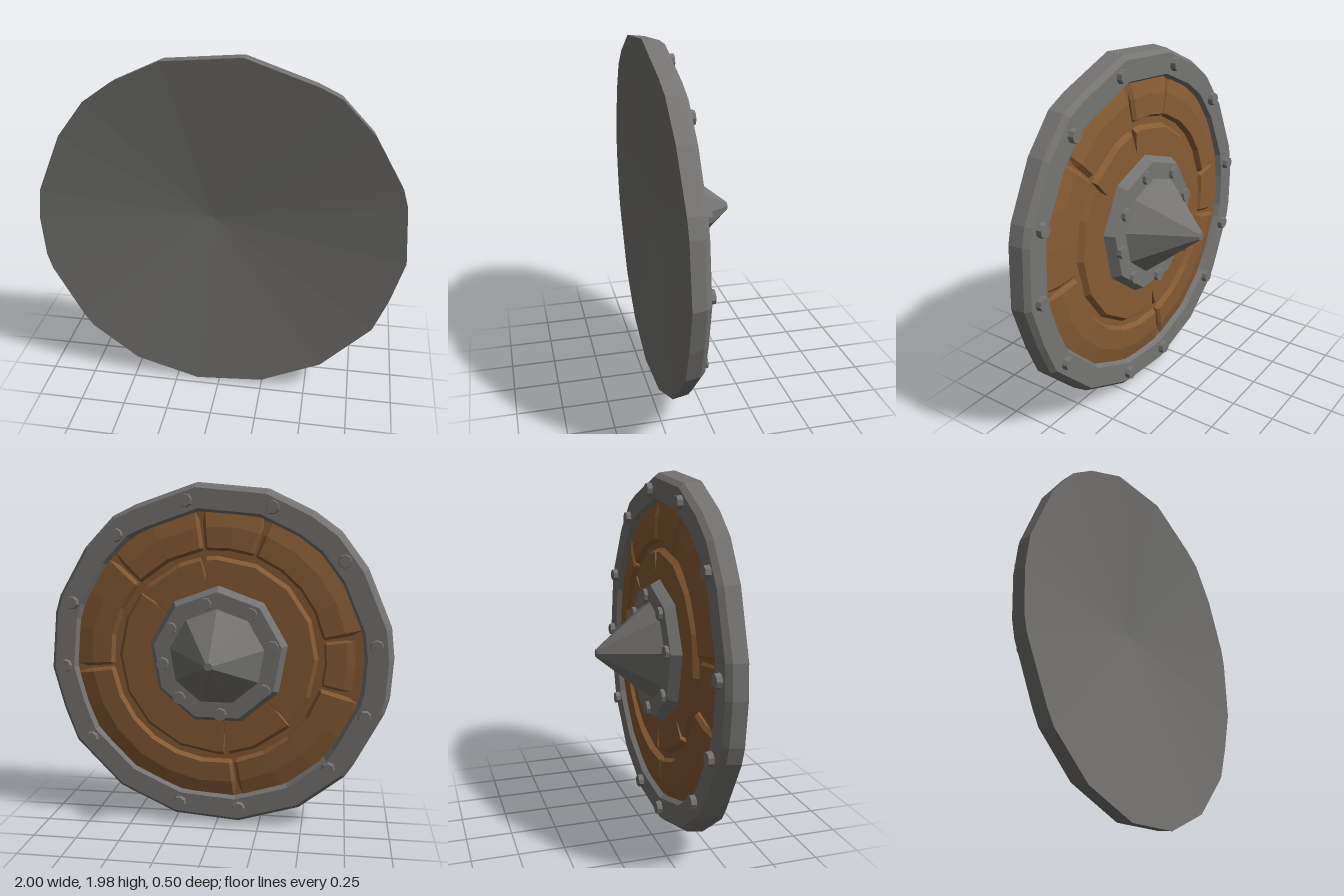
import * as THREE from 'three';

const RAD = Math.PI / 180;
const iron = new THREE.MeshStandardMaterial({ color: 0x757472 });
iron.name = 'iron grey';
const wood = new THREE.MeshStandardMaterial({ color: 0x865b34 });
wood.name = 'brown wood';

// Faceted skin through a sequence of closed rings of [x, y, z] points
function loft(rings) {
  const pos = [];
  for (let k = 0; k < rings.length - 1; k++) {
    const a = rings[k], b = rings[k + 1], n = a.length;
    for (let i = 0; i < n; i++) {
      const j = (i + 1) % n;
      pos.push(...a[i], ...b[i], ...b[j], ...a[i], ...b[j], ...a[j]);
    }
  }
  const g = new THREE.BufferGeometry();
  g.setAttribute('position', new THREE.Float32BufferAttribute(pos, 3));
  g.computeVertexNormals();
  return g;
}

// Faceted cone or disc whose top points backwards (-z)
function stud(rTop, rBase, height, sides) {
  const g = new THREE.CylinderGeometry(rTop, rBase, height, sides).toNonIndexed();
  g.computeVertexNormals();
  return g.rotateX(-Math.PI / 2);
}

function add(parent, name, geometry, material, x = 0, y = 0, z = 0) {
  const m = new THREE.Mesh(geometry, material);
  m.name = name;
  m.position.set(x, y, z);
  parent.add(m);
  return m;
}

// Uneven hammered outline, clockwise from the top
const OUTLINE = [
  [0.13, 0.988], [0.49, 0.863], [0.61, 0.805], [0.78, 0.625], [0.94, 0.345], [0.97, 0.245],
  [0.998, -0.09], [0.93, -0.335], [0.855, -0.53], [0.585, -0.805], [0.25, -0.96], [-0.13, -0.99],
  [-0.49, -0.885], [-0.75, -0.685], [-0.8, -0.61], [-0.96, -0.31], [-0.985, -0.22], [-1, 0.01],
  [-0.98, 0.185], [-0.84, 0.515], [-0.69, 0.715], [-0.54, 0.825], [-0.28, 0.95],
].reverse();

const outlineRing = (k, z) => OUTLINE.map(([x, y]) => [x * k, y * k, z(y)]);

// One wooden panel of the outer ring, with sunken ends along the cracks
function panel(from, to, sink) {
  const section = [[0.625, 0.108], [0.74, 0.113], [0.84, 0.138], [0.84, 0.17], [0.59, 0.17]];
  const steps = Math.max(2, Math.round((to - from) / 16));
  const at = (deg, dz) => section.map(([r, z]) => [
    r * Math.cos(deg * RAD), r * Math.sin(deg * RAD), z < 0.15 ? z + dz : z,
  ]);
  const middle = (deg) => section.map(() => [
    0.72 * Math.cos(deg * RAD), 0.72 * Math.sin(deg * RAD), 0.155,
  ]);
  const rings = [middle(from), at(from, sink + 0.016)];
  for (let i = 0; i <= steps; i++) {
    rings.push(at(from + 1.5 + ((to - from - 3) * i) / steps, sink));
  }
  rings.push(at(to, sink + 0.016), middle(to));
  return loft(rings);
}

// Inner wooden disc with wedge-shaped splits in its edge
function innerDisc() {
  const splits = [41, 82, 221, 264];
  const rim = [];
  for (let d = 0; d < 360; d += 22.5) {
    if (!splits.some((s) => Math.abs(s - d) < 3)) rim.push([d, 1]);
  }
  splits.forEach((s) => rim.push([s - 1.7, 1], [s, 0.8], [s + 1.7, 1]));
  rim.sort((a, b) => a[0] - b[0]);
  const ring = (r, z) => rim.map(([d, k]) => [
    r * k * Math.cos(d * RAD), r * k * Math.sin(d * RAD), z,
  ]);
  return loft([ring(0.595, 0.16), ring(0.555, 0.11), ring(0, 0.106)]);
}

export function createModel() {
  const model = new THREE.Group();
  model.name = 'roundShield';
  const body = new THREE.Group();
  body.name = 'shieldBody';
  body.position.y = 0.995;
  body.rotation.x = 0.02;
  model.add(body);

  // Dished face, side wall, bevel, flat rim band and its inner lip
  add(body, 'faceAndRim', loft([
    OUTLINE.map(() => [-0.04, 0.06, 0.14]),
    outlineRing(1, (y) => 0.208 + 0.019 * y * y),
    outlineRing(0.988, () => 0.135),
    outlineRing(0.965, () => 0.107),
    outlineRing(0.85, () => 0.107),
    outlineRing(0.825, () => 0.15),
  ]), iron);

  // Wooden floor, cracked outer ring and inner disc
  add(body, 'woodFloor', new THREE.CircleGeometry(0.84, 24).rotateY(Math.PI), wood, 0, 0, 0.138);
  const cracks = [-6, 43, 83, 110, 170, 195, 261, 354];
  for (let i = 0; i < cracks.length - 1; i++) {
    const sunken = cracks[i] === 170 ? 0.014 : 0;
    add(body, 'woodPanel', panel(cracks[i] + 0.6, cracks[i + 1] - 0.6, sunken), wood);
  }
  add(body, 'woodInnerDisc', innerDisc(), wood);

  // Central boss and spike
  add(body, 'bossPlate', stud(0.37, 0.405, 0.06, 9), iron, -0.01, 0.01, 0.085);
  add(body, 'spike', stud(0.022, 0.278, 0.31, 9), iron, -0.008, 0.01, -0.095);

  // Bolts around the rim and the boss
  const bolts = (name, angles, r, x, z) => angles.forEach((d) => {
    const bolt = add(body, name, stud(0.035, 0.04, 0.034, 8), iron,
      x + r * Math.cos(d * RAD), r * Math.sin(d * RAD), z);
    bolt.rotation.z = d * RAD;
  });
  bolts('rimBolt', [19.5, 50, 78.5, 110, 142, 174.5, 200.5, 224, 261.5, 284, 326, 355.5], 0.9, 0, 0.095);
  bolts('bossBolt', [32, 77, 126, 166, 213, 267, 314, 354], 0.318, -0.012, 0.052);

  return model;
}
